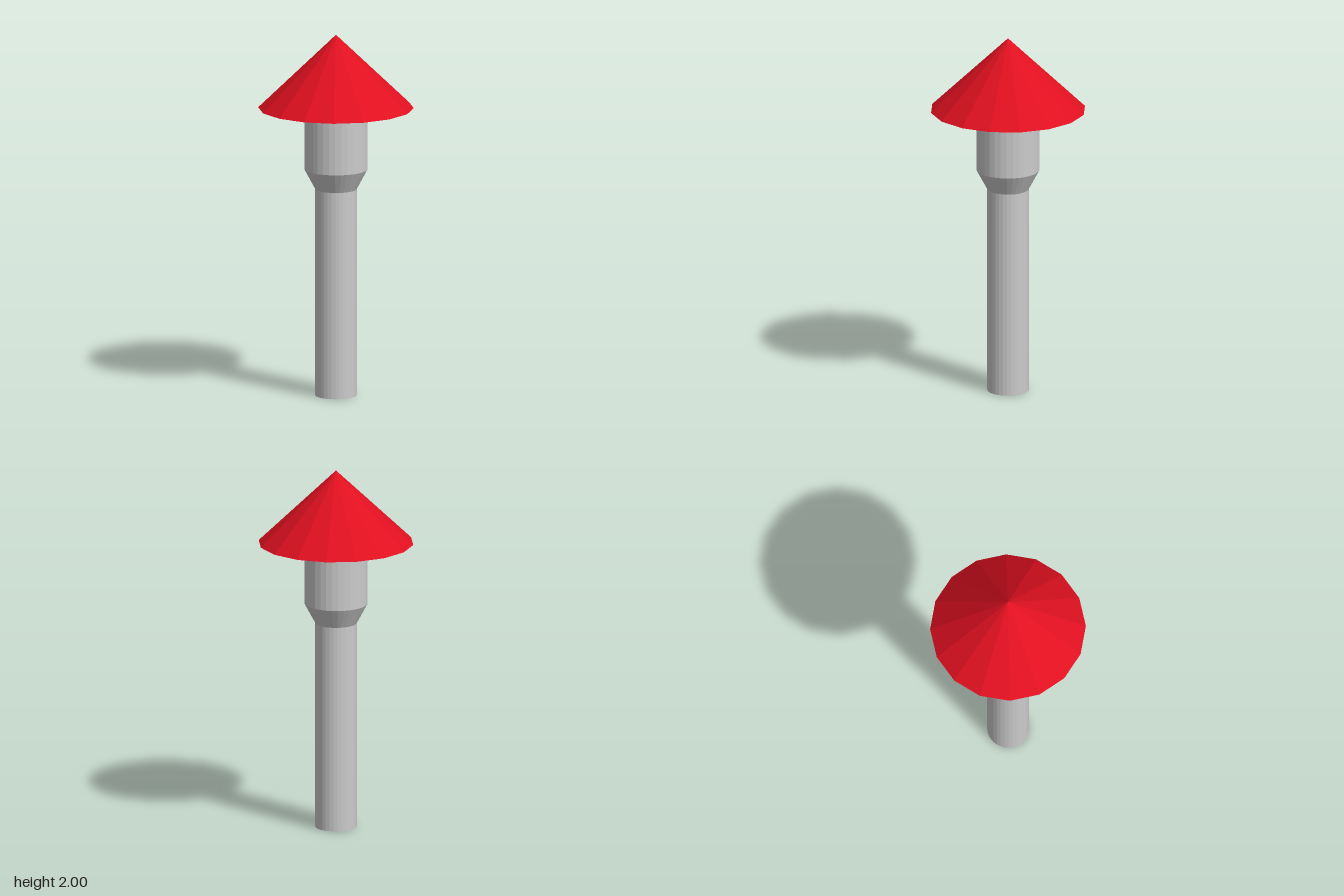
import * as THREE from 'three';

export function createModel() {
  const model = new THREE.Group();
  const grey = new THREE.MeshStandardMaterial({ color: 0xcccccc, flatShading: true });
  const red = new THREE.MeshStandardMaterial({ color: 0xe01020, flatShading: true });

  // Adds a faceted round section standing between two heights
  function addSection(name, bottomRadius, topRadius, y0, y1, sides, material, open = false) {
    const geometry = new THREE.CylinderGeometry(topRadius, bottomRadius, y1 - y0, sides, 1, open);
    const mesh = new THREE.Mesh(geometry, material);
    mesh.name = name;
    mesh.position.y = (y0 + y1) / 2;
    model.add(mesh);
  }

  // Slim pipe, flared collar and wider outlet
  addSection('pipe', 0.113, 0.113, 0, 1.145, 32, grey);
  addSection('collar', 0.113, 0.172, 1.145, 1.255, 32, grey, true);
  addSection('outlet', 0.172, 0.172, 1.255, 1.595, 32, grey, true);

  // Conical rain cap with a closed underside
  addSection('cap', 0.423, 0, 1.595, 2, 16, red);

  return model;
}
